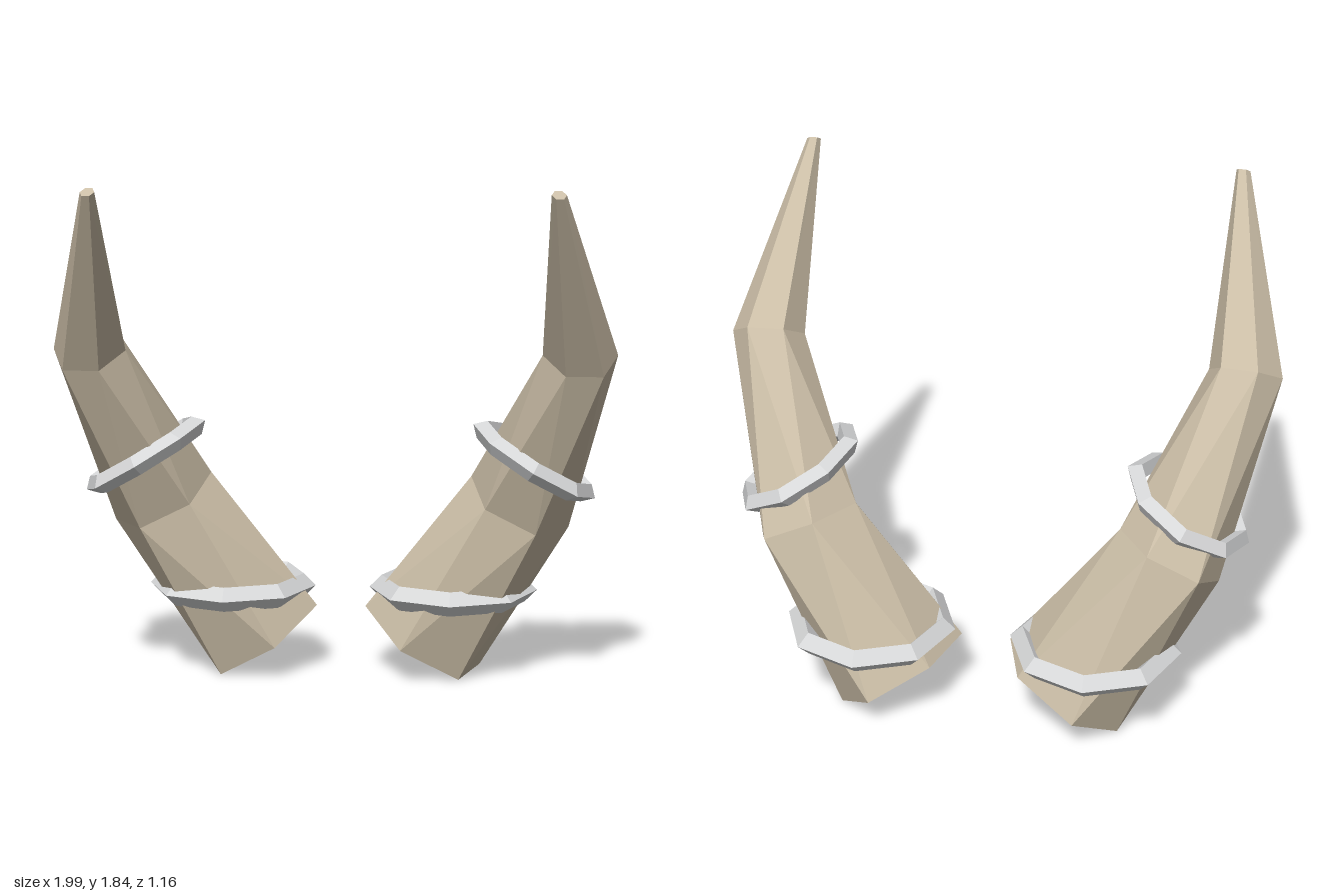
import * as THREE from 'three';

// Hexagonal cross-sections from base to tip: centre, then three corner offsets
// (the other three corners are their opposites).
const SECTIONS = [
  { c: [0.30, 0.125, -0.275], o: [[0.14, -0.125, 0.165], [0.21, -0.125, -0.075], [0.07, 0, -0.245]] },
  { c: [0.657, 0.66, -0.175], o: [[0.06, -0.09, 0.175], [0.178, -0.09, 0.005], [0.122, 0, -0.167]] },
  { c: [0.866, 1.243, 0.137], o: [[-0.05, -0.063, 0.10], [0.081, -0.063, 0.09], [0.131, 0, -0.012]] },
  { c: [0.785, 1.83, 0.562], o: [[-0.01, -0.012, 0.019], [0.016, -0.012, 0.017], [0.025, 0, -0.002]] },
];

// Lofted horn; side is +1 for left, -1 for right
function hornGeometry(side) {
  const positions = [];
  const index = [];
  for (const { c, o } of SECTIONS) {
    for (const sign of [1, -1]) {
      for (const d of o) {
        positions.push(side * (c[0] + sign * d[0]), c[1] + sign * d[1], c[2] + sign * d[2]);
      }
    }
  }
  // Mirroring reverses the corner order
  const tri = (a, b, c) => (side > 0 ? index.push(a, b, c) : index.push(a, c, b));
  const last = (SECTIONS.length - 1) * 6;
  for (let s = 0; s < last; s += 6) {
    for (let i = 0; i < 6; i++) {
      const j = (i + 1) % 6;
      tri(s + i, s + j, s + 6 + j);
      tri(s + i, s + 6 + j, s + 6 + i);
    }
  }
  // Flat caps at base and tip
  for (let i = 1; i < 5; i++) {
    tri(0, i + 1, i);
    tri(last, last + i, last + i + 1);
  }
  const geometry = new THREE.BufferGeometry();
  geometry.setAttribute('position', new THREE.Float32BufferAttribute(positions, 3));
  geometry.setIndex(index);
  const flat = geometry.toNonIndexed();
  flat.computeVertexNormals();
  return flat;
}

// Eight-sided band with a diamond profile, lying flat and then tilted
function ringGeometry(radius, tube, tilt) {
  return new THREE.TorusGeometry(radius, tube, 4, 8).rotateX(Math.PI / 2).rotateZ(tilt);
}

export function createModel() {
  const bone = new THREE.MeshStandardMaterial({ name: 'bone', color: 0xcabda6, flatShading: true });
  const silver = new THREE.MeshStandardMaterial({ name: 'silver', color: 0xd6d7d8, flatShading: true });

  const model = new THREE.Group();
  model.name = 'hornPair';

  for (const side of [1, -1]) {
    const group = new THREE.Group();
    group.name = side > 0 ? 'leftHorn' : 'rightHorn';

    const horn = new THREE.Mesh(hornGeometry(side), bone);
    horn.name = 'horn';

    const lowerRing = new THREE.Mesh(ringGeometry(0.266, 0.045, 0), silver);
    lowerRing.name = 'lowerRing';
    lowerRing.position.set(side * 0.412, 0.31, -0.265);

    const upperRing = new THREE.Mesh(ringGeometry(0.22, 0.037, -side * 0.54), silver);
    upperRing.name = 'upperRing';
    upperRing.position.set(side * 0.708, 0.825, -0.092);

    group.add(horn, lowerRing, upperRing);
    model.add(group);
  }
  return model;
}
